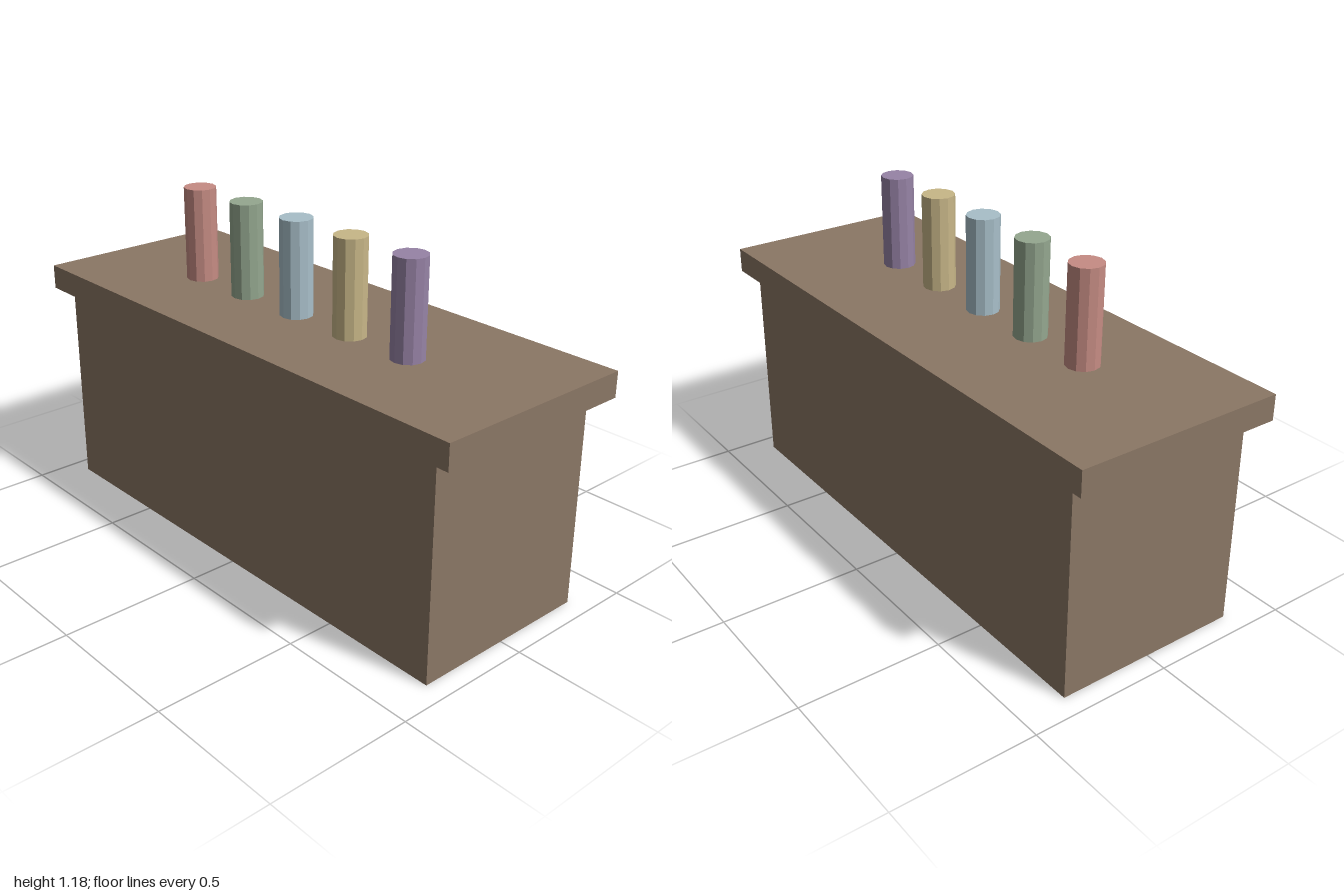
import * as THREE from 'three';

const material = (name, color, flatShading = false) => {
  const m = new THREE.MeshStandardMaterial({ color, flatShading });
  m.name = name;
  return m;
};

export function createModel() {
  const model = new THREE.Group();
  model.name = 'counterWithTubes';
  const brown = material('brown', 0x8b7765);

  // Adds a mesh resting with its underside at the given height
  const add = (name, geometry, mat, x, bottom, height, z) => {
    const mesh = new THREE.Mesh(geometry, mat);
    mesh.name = name;
    mesh.position.set(x, bottom + height / 2, z);
    model.add(mesh);
  };

  // Solid base and overhanging top, with a narrow shadow gap between them
  add('counterBase', new THREE.BoxGeometry(1.85, 0.743, 0.67), brown, 0, 0, 0.743, 0);
  add('counterTop', new THREE.BoxGeometry(2, 0.088, 0.741), brown, 0, 0.75, 0.088, 0);

  // Row of upright coloured tubes
  const tube = new THREE.CylinderGeometry(0.0575, 0.0575, 0.335, 12);
  const colours = [
    ['pink', 0xc68c84],
    ['green', 0x94a78f],
    ['blue', 0xa8bfc9],
    ['yellow', 0xc8b788],
    ['purple', 0x9783a6],
  ];
  colours.forEach(([name, hex], i) => {
    add(name + 'Tube', tube, material(name, hex, true), (i - 2) * 0.259, 0.841, 0.335, 0.037);
  });

  return model;
}
